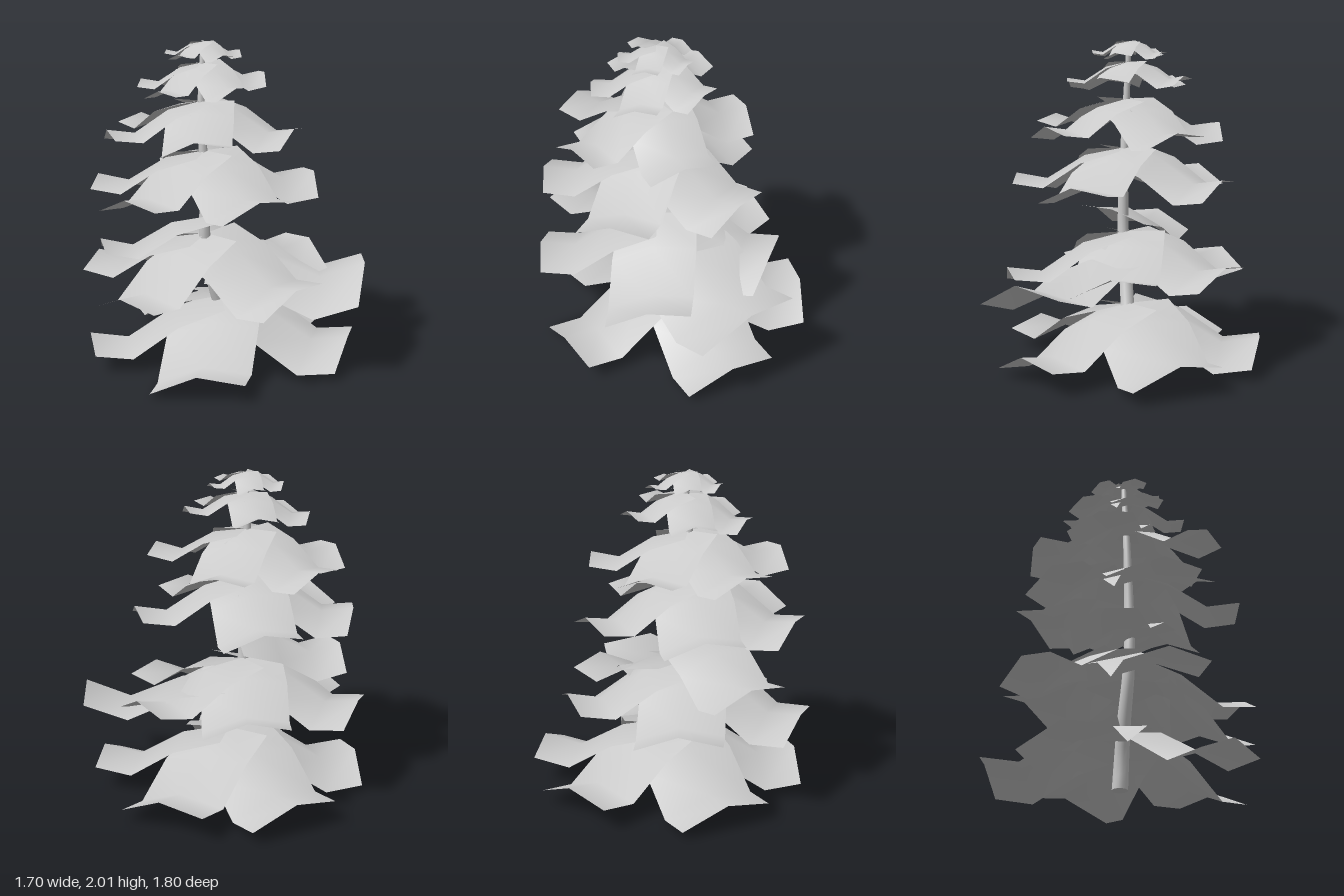
import * as THREE from 'three';

const leafMat = new THREE.MeshStandardMaterial({ color: 0xcccccc, side: THREE.DoubleSide });
const barkMat = new THREE.MeshStandardMaterial({ color: 0xcccccc });

// Lengthwise profile of a leaf card, as fractions of its length:
// distance out, ridge height, half width, drop of the side edges
const ROWS = [
  [0, 0, 0.34, 0.05],
  [0.36, -0.075, 0.36, 0.09],
  [0.71, -0.3, 0.36, 0.1],
  [1, -0.25, 0.355, 0.11],
];
// Every leaf is rolled to one side, so that neighbours overlap like shingles
const ROLL = 0.15;

// One folded card growing from its base point, sheared by the slopes sx and sz
function makeLeaf(name, [x0, y0, z0], degrees, length, sx, sz) {
  const a = THREE.MathUtils.degToRad(degrees);
  const pos = [], index = [];
  ROWS.forEach(([out, height, half, drop], r) => {
    for (let s = -1; s <= 1; s++) {
      const u = (out + (s === 0 ? 0.03 * out : 0)) * length;
      const v = s * half * length;
      const x = u * Math.cos(a) - v * Math.sin(a);
      const z = u * Math.sin(a) + v * Math.cos(a);
      pos.push(x, (height - drop * Math.abs(s)) * length - ROLL * v + sx * x + sz * z, z);
    }
    if (r === 0) return;
    for (let c = 0; c < 2; c++) {
      const i = (r - 1) * 3 + c, j = i + 3;
      index.push(i, i + 1, j, i + 1, j + 1, j);
    }
  });
  const geo = new THREE.BufferGeometry();
  geo.setAttribute('position', new THREE.Float32BufferAttribute(pos, 3));
  geo.setIndex(index);
  geo.computeVertexNormals();
  const mesh = new THREE.Mesh(geo, leafMat);
  mesh.position.set(x0, y0, z0);
  mesh.name = name;
  return mesh;
}

// Bent, tapering trunk: a cylinder moved onto a curve
function makeTrunk() {
  const curve = new THREE.CatmullRomCurve3([
    [0.08, 0.02, -0.04], [0.05, 0.2, -0.04], [-0.02, 0.4, -0.05], [-0.12, 0.75, -0.05],
    [-0.12, 1.1, -0.05], [-0.13, 1.6, -0.07], [-0.1, 1.98, -0.08],
  ].map((p) => new THREE.Vector3(...p)));
  const geo = new THREE.CylinderGeometry(0.016, 0.05, 1, 12, 24);
  const p = geo.attributes.position;
  for (let i = 0; i < p.count; i++) {
    const c = curve.getPointAt(THREE.MathUtils.clamp(p.getY(i) + 0.5, 0, 1));
    p.setXYZ(i, p.getX(i) + c.x, c.y, p.getZ(i) + c.z);
  }
  geo.computeVertexNormals();
  const mesh = new THREE.Mesh(geo, barkMat);
  mesh.name = 'trunk';
  return mesh;
}

// Whorls of leaves: base point, leaf length, slopes, leaf directions
const TIERS = [
  { at: [0.02, 0.365, -0.05], length: 0.8, slope: [0.035, -0.01], angles: [-8, 64, 148, 222, -67] },
  { at: [-0.1, 0.8, -0.06], length: 0.73, slope: [0.08, -0.02], angles: [20, 93, 180, 251, -40] },
  { at: [-0.12, 1.33, -0.05], length: 0.66, slope: [0.03, 0], angles: [40, 110, 181, 240, -48] },
  { at: [-0.12, 1.635, -0.07], length: 0.57, slope: [0, 0.02], angles: [-17, 70, 142, 214, -84] },
  { at: [-0.11, 1.865, -0.08], length: 0.37, slope: [0.09, 0], angles: [40, 106, 180, 240, -48] },
  { at: [-0.1, 1.99, -0.08], length: 0.22, slope: [0, 0], angles: [35, 106, 180, 240, -48] },
];

export function createModel() {
  const tree = new THREE.Group();
  tree.name = 'tree';
  tree.add(makeTrunk());

  TIERS.forEach(({ at, length, slope, angles }, i) => {
    const tier = new THREE.Group();
    tier.name = `leafTier${i + 1}`;
    angles.forEach((deg) => tier.add(makeLeaf('leaf', at, deg, length, ...slope)));
    tree.add(tier);
  });

  // Two stray leaves around the second tier: a low front one and a raised back one
  tree.add(makeLeaf('lowFrontLeaf', [-0.07, 0.68, -0.05], 55, 0.93, 0.16, 0.13));
  tree.add(makeLeaf('raisedBackLeaf', [-0.14, 0.935, 0.02], 220, 0.66, -0.08, -0.02));
  return tree;
}
